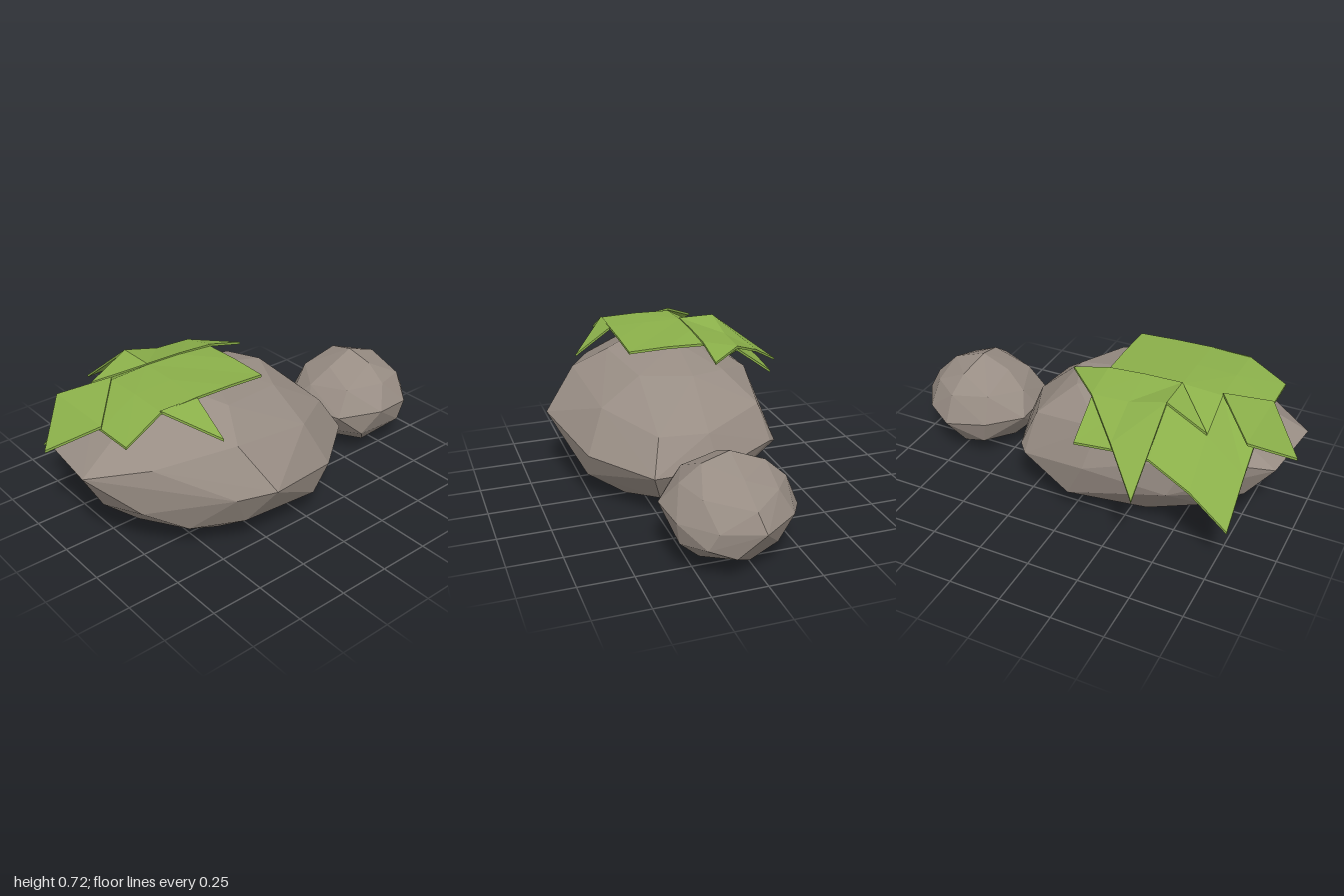
import * as THREE from 'three';
import { ConvexGeometry } from 'three/addons/geometries/ConvexGeometry.js';

const stone = new THREE.MeshStandardMaterial({ color: 0x988d84 });
stone.name = 'stone';
const leafGreen = new THREE.MeshStandardMaterial({ color: 0x8bb04a, side: THREE.DoubleSide });
leafGreen.name = 'leafGreen';

const LEAF_THICKNESS = 0.012;

function addMesh(parent, name, geometry, material) {
  const mesh = new THREE.Mesh(geometry, material);
  mesh.name = name;
  parent.add(mesh);
}

// Faceted hull through a few ring points
function hull(rings) {
  return new ConvexGeometry(rings.flat().map((p) => new THREE.Vector3(...p)));
}

// Thin flat-shaded slab: top triangles, a lowered copy, and walls along the open rim
function slab(triangles) {
  const lower = ([x, y, z]) => [x, y - LEAF_THICKNESS, z];
  const top = triangles.map(([a, b, c]) => {
    const up = (b[2] - a[2]) * (c[0] - a[0]) - (b[0] - a[0]) * (c[2] - a[2]);
    return up > 0 ? [a, b, c] : [a, c, b];
  });
  const edges = new Map();
  for (const [a, b, c] of top) {
    for (const [p, q] of [[a, b], [b, c], [c, a]]) edges.set(`${p}|${q}`, [p, q]);
  }
  const all = [...top];
  for (const [a, b, c] of top) all.push([lower(a), lower(c), lower(b)]);
  for (const [p, q] of edges.values()) {
    if (!edges.has(`${q}|${p}`)) all.push([p, lower(p), lower(q)], [p, lower(q), q]);
  }
  const g = new THREE.BufferGeometry().setFromPoints(all.flat().map((p) => new THREE.Vector3(...p)));
  g.computeVertexNormals();
  return g;
}

// Long boulder, ring by ring from the ground up
function boulder() {
  return hull([
    [[-0.3, 0, 0.08], [0.02, 0.02, 0.25], [0.02, 0.03, -0.05], [-0.35, 0.06, -0.22],
      [-0.42, 0.06, 0.36], [0.1, 0.055, 0.36]],
    [[-0.69, 0.1, 0.13], [-0.62, 0.13, -0.16], [0.0, 0.13, -0.36], [0.3, 0.1, -0.05],
      [0.31, 0.11, 0.25], [0.02, 0.14, 0.52], [-0.38, 0.16, 0.51], [-0.6, 0.15, 0.39]],
    [[-0.86, 0.25, 0.12], [-0.8, 0.27, -0.18], [-0.5, 0.29, -0.37], [-0.1, 0.33, -0.405],
      [0.23, 0.28, -0.35], [0.27, 0.3, -0.31], [0.39, 0.25, -0.01], [0.395, 0.25, 0.3], [0.1, 0.27, 0.53],
      [-0.31, 0.35, 0.64], [-0.47, 0.33, 0.56], [-0.78, 0.26, 0.3]],
    [[-0.975, 0.45, 0.16], [-0.93, 0.44, -0.18], [-0.6, 0.5, -0.35], [-0.15, 0.53, -0.34],
      [0.2, 0.47, -0.27], [0.33, 0.41, 0.02], [0.3, 0.41, 0.25], [0.02, 0.47, 0.44],
      [-0.4, 0.54, 0.48], [-0.74, 0.48, 0.33]],
    [[-0.72, 0.59, 0.1], [-0.7, 0.58, -0.15], [-0.45, 0.69, 0.08], [-0.45, 0.68, -0.1],
      [-0.2, 0.675, 0], [0.11, 0.61, 0.02], [0.05, 0.6, -0.15], [-0.32, 0.64, 0.32], [0.0, 0.6, 0.25]],
  ]);
}

// Small round stone, ring by ring from the ground up
function pebble() {
  return hull([
    [[0.69, 0, 0.07]],
    [[0.52, 0.055, 0.05], [0.86, 0.05, 0.03], [0.64, 0.05, 0.23], [0.76, 0.05, 0.22], [0.72, 0.06, -0.12]],
    [[0.44, 0.13, 0.1], [0.95, 0.12, 0.12], [0.8, 0.15, 0.32], [0.56, 0.14, 0.3], [0.93, 0.17, 0.24],
      [0.88, 0.13, -0.09], [0.58, 0.12, -0.16]],
    [[0.4, 0.25, -0.06], [0.4, 0.25, 0.08], [1, 0.24, 0.01], [0.63, 0.27, 0.36], [0.82, 0.26, 0.34],
      [0.44, 0.25, 0.25], [0.95, 0.25, 0.2], [0.75, 0.22, -0.235], [0.55, 0.24, -0.19], [0.885, 0.25, -0.16]],
    [[0.45, 0.35, 0.03], [0.96, 0.33, 0.04], [0.7, 0.38, 0.29], [0.86, 0.37, 0.24],
      [0.52, 0.37, 0.22], [0.56, 0.37, -0.13], [0.74, 0.36, -0.18], [0.87, 0.37, -0.09]],
    [[0.55, 0.43, 0.06], [0.86, 0.43, 0.06], [0.72, 0.44, -0.09], [0.7, 0.455, 0.19]],
    [[0.69, 0.49, 0.06]],
  ]);
}

// Square leaf sheet draped over the boulder; rows run back to front
function drapedSheet() {
  const xs = [-0.82, -0.64, -0.45, -0.27, -0.09];
  const zs = [-0.46, -0.28, -0.1, 0.08, 0.27];
  const heights = [
    [0.265, 0.42, 0.53, 0.53, 0.51],
    [0.44, 0.6, 0.705, 0.655, 0.645],
    [0.59, 0.7, 0.71, 0.705, 0.69],
    [0.6, 0.705, 0.71, 0.7, 0.695],
    [0.6, 0.7, 0.705, 0.7, 0.69],
  ];
  const at = (r, c) => [xs[c], heights[r][c], zs[r]];
  const tris = [];
  for (let r = 0; r < 4; r++) {
    for (let c = 0; c < 4; c++) {
      const [a, b, d, e] = [at(r, c), at(r + 1, c), at(r + 1, c + 1), at(r, c + 1)];
      // Crease each cell along the line running out from the middle
      if ((r < 2) === (c < 2)) tris.push([a, b, d], [a, d, e]);
      else tris.push([a, b, e], [b, d, e]);
    }
  }
  return slab(tris);
}

// Pointed leaf tips turned 45 degrees to the sheet
function leafTips() {
  const centre = [-0.45, 0.716, -0.1];
  const backMid = [-0.45, 0.716, -0.28];
  const backOuter = [-0.27, 0.56, -0.46];
  const innerLeft = [-0.27, 0.668, -0.28];
  const leftMid = [-0.27, 0.712, -0.1];
  const leftInner = [-0.09, 0.7, -0.1];
  const leftOuter = [-0.09, 0.658, -0.28];
  const rightFront = [-0.82, 0.615, 0.085];
  const rightBack = [-0.82, 0.615, -0.28];
  return {
    backTip: slab([
      [backMid, backOuter, [-0.45, 0.435, -0.64]],
      [backMid, innerLeft, backOuter],
      [innerLeft, leftOuter, backOuter],
      [backMid, centre, innerLeft],
      [centre, leftMid, innerLeft],
      [[-0.64, 0.612, -0.28], centre, backMid],
    ]),
    leftTip: slab([
      [innerLeft, leftMid, leftOuter],
      [leftMid, leftInner, leftOuter],
      [leftInner, [0.09, 0.655, -0.1], leftOuter],
    ]),
    rightTip: slab([
      [[-1, 0.475, -0.1], rightFront, rightBack],
      [rightBack, rightFront, [-0.64, 0.714, -0.1]],
    ]),
    frontTip: slab([[[-0.64, 0.705, 0.265], [-0.45, 0.58, 0.45], [-0.45, 0.705, 0.265]]]),
  };
}

export function createModel() {
  const model = new THREE.Group();
  model.name = 'rocksWithLeaves';
  addMesh(model, 'largeRock', boulder(), stone);
  addMesh(model, 'smallRock', pebble(), stone);

  const leaves = new THREE.Group();
  leaves.name = 'leaves';
  addMesh(leaves, 'leafSheet', drapedSheet(), leafGreen);
  for (const [name, geometry] of Object.entries(leafTips())) addMesh(leaves, name, geometry, leafGreen);
  model.add(leaves);
  return model;
}
